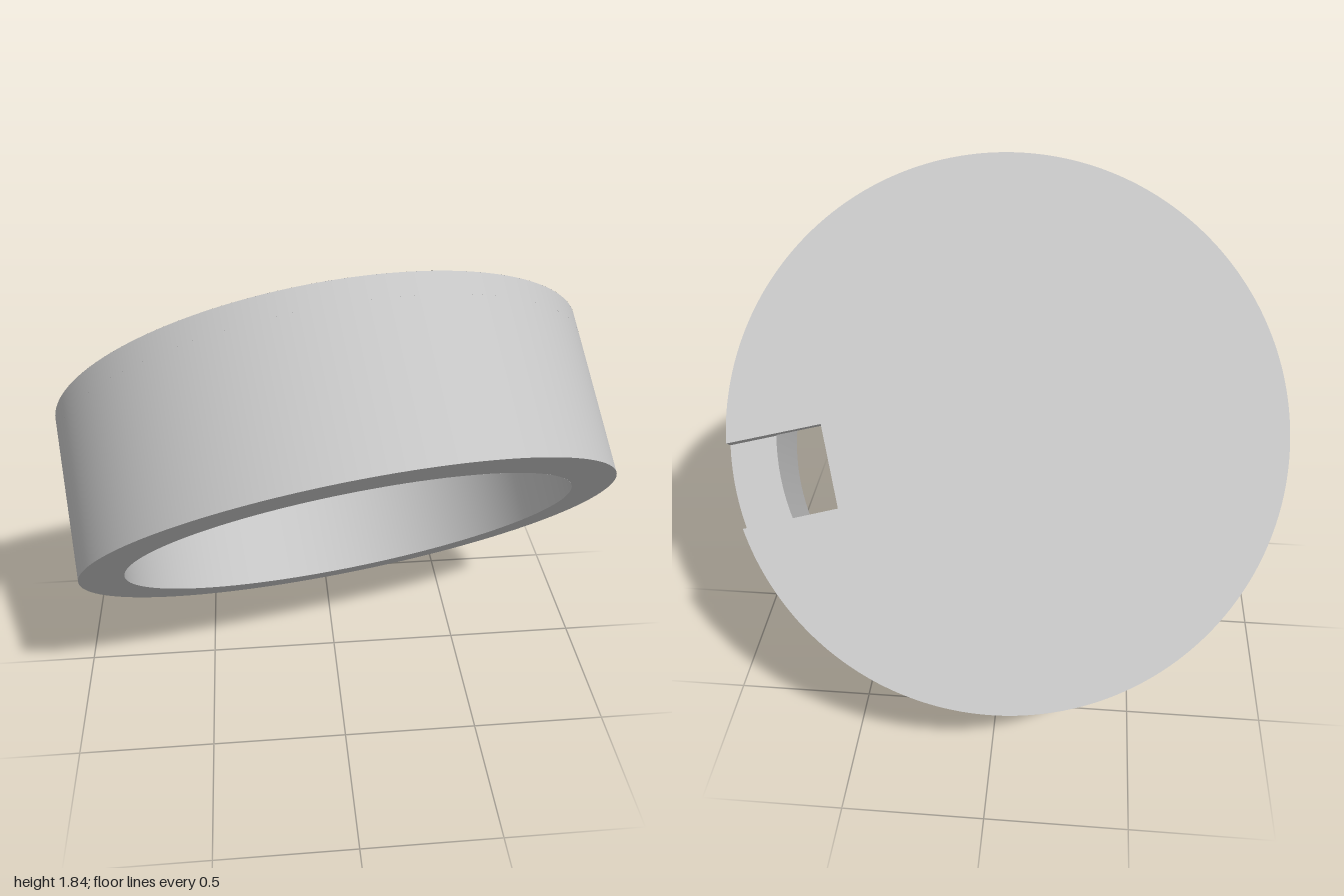
import * as THREE from 'three';

const R = 0.97, RI = 0.814;              // outer and inner radius
const RIM = -0.294, CAP = 0.294;         // open rim and outer cap heights along the axis
const FLOOR = 0.24, LEDGE = 0.219;       // inside of the cap, bottom of the notch
const NOTCH = 0.638, HALF = 0.146;       // notch start along x and its half width
const SEG = 128;

export function createModel() {
  const grey = new THREE.MeshStandardMaterial({ color: 0xc4c4c4, side: THREE.DoubleSide });
  grey.name = 'light grey';
  const cup = new THREE.Group();
  cup.name = 'cup';
  const add = (name, geometry) => {
    const mesh = new THREE.Mesh(geometry, grey);
    mesh.name = name;
    cup.add(mesh);
    return mesh;
  };
  const gap = r => Math.asin(HALF / r);

  // Round wall from y0 to y1 (descending faces inward), optionally open at the notch
  const wall = (name, r, y0, y1, open) => {
    const a = open ? gap(r) : 0;
    add(name, new THREE.LatheGeometry([new THREE.Vector2(r, y0), new THREE.Vector2(r, y1)],
      SEG, Math.PI / 2 + a, Math.PI * 2 - 2 * a));
  };
  // Flat plate lying across the axis, facing up or down
  const plate = (name, shape, y, up) =>
    add(name, new THREE.ShapeGeometry(shape, SEG).rotateX(up ? -Math.PI / 2 : Math.PI / 2).translate(0, y, 0));
  // Disc with the rectangular notch cut in from its edge
  const notchedDisc = r => {
    const s = new THREE.Shape();
    s.absarc(0, 0, r, gap(r), Math.PI * 2 - gap(r), false);
    s.lineTo(NOTCH, -HALF);
    s.lineTo(NOTCH, HALF);
    return s;
  };

  wall('outerWall', R, RIM, LEDGE, false);
  wall('outerWallTop', R, LEDGE, CAP, true);
  wall('innerWall', RI, LEDGE, RIM, false);
  wall('innerWallTop', RI, FLOOR, LEDGE, true);
  plate('cap', notchedDisc(R), CAP, true);
  plate('capInside', notchedDisc(RI), FLOOR, false);

  // Open rim
  const ring = new THREE.Shape().absarc(0, 0, R, 0, Math.PI * 2, false);
  ring.holes.push(new THREE.Path().absarc(0, 0, RI, 0, Math.PI * 2, true));
  plate('rim', ring, RIM, false);

  // Notch: ledge on the wall, back edge and the two sides
  const ledge = new THREE.Shape();
  ledge.absarc(0, 0, R, -gap(R), gap(R), false);
  ledge.absarc(0, 0, RI, gap(RI), -gap(RI), true);
  plate('notchLedge', ledge, LEDGE, true);

  add('notchBack', new THREE.PlaneGeometry(2 * HALF, CAP - FLOOR)
    .rotateY(Math.PI / 2).translate(NOTCH, (CAP + FLOOR) / 2, 0));

  const xi = Math.sqrt(RI * RI - HALF * HALF), xo = Math.sqrt(R * R - HALF * HALF);
  const side = new THREE.Shape([[NOTCH, FLOOR], [xi, FLOOR], [xi, LEDGE], [xo, LEDGE], [xo, CAP], [NOTCH, CAP]]
    .map(p => new THREE.Vector2(...p)));
  for (const z of [-HALF, HALF]) add('notchSide', new THREE.ShapeGeometry(side).translate(0, 0, z));

  // Tilt the cup: axis points up and back, notch towards the left
  const axis = new THREE.Vector3(-0.13, 0.662, -0.738).normalize();
  const w = new THREE.Vector3(0.955, -0.115, -0.27).cross(axis).normalize();
  const u = axis.clone().cross(w);
  cup.quaternion.setFromRotationMatrix(new THREE.Matrix4().makeBasis(u, axis, w));
  cup.position.y = 0.922;

  const model = new THREE.Group();
  model.name = 'notchedCup';
  model.add(cup);
  return model;
}
